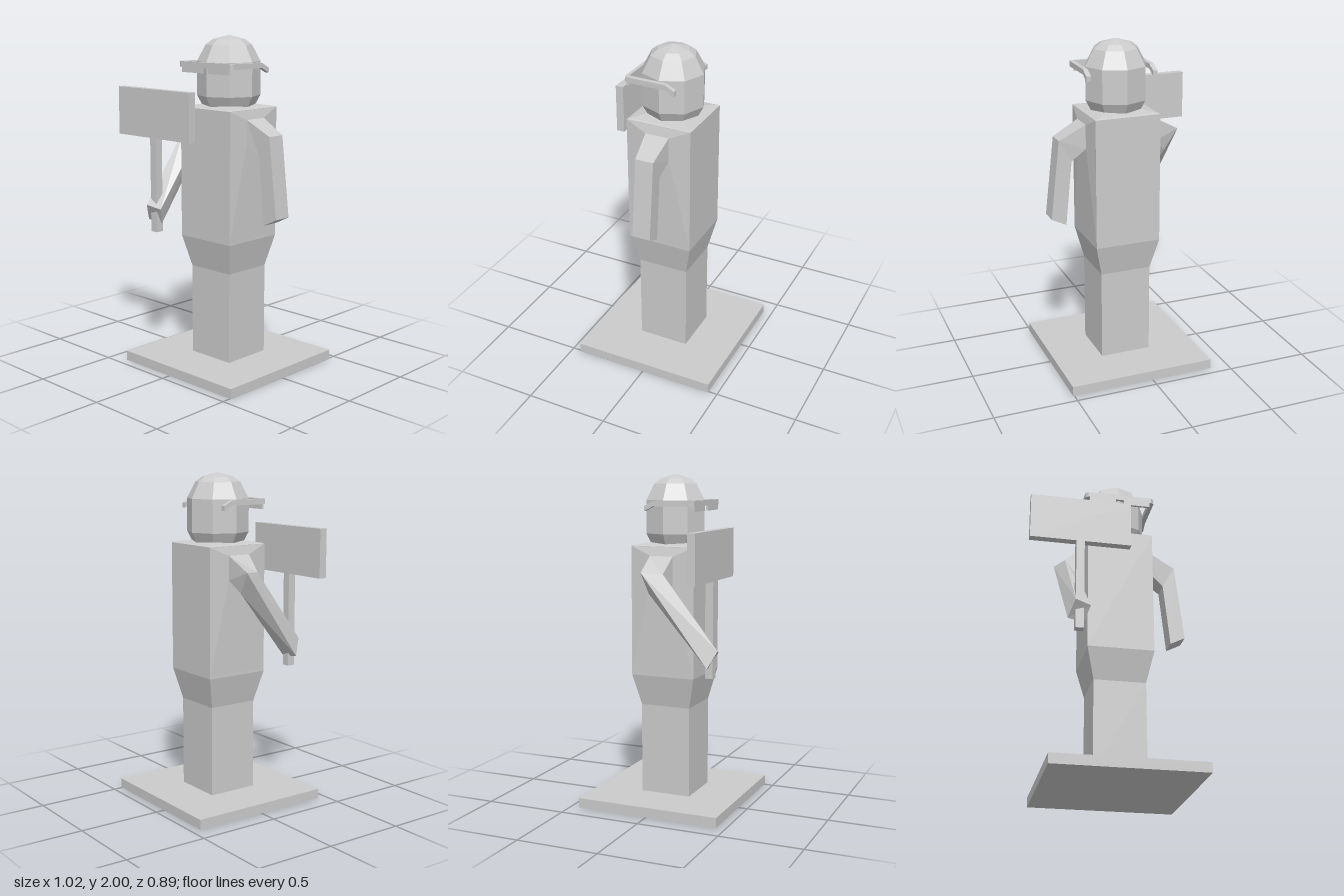
import * as THREE from 'three';

const CX = 0.0625; // centre line of the figure

const material = new THREE.MeshStandardMaterial({ color: 0xcccccc, flatShading: true });

function addMesh(parent, name, geometry) {
  const mesh = new THREE.Mesh(geometry, material);
  mesh.name = name;
  parent.add(mesh);
  return mesh;
}

// Box given by its minimum and maximum corners
function addBox(parent, name, min, max) {
  const size = max.map((v, i) => v - min[i]);
  const geometry = new THREE.BoxGeometry(...size);
  geometry.translate(...min.map((v, i) => v + size[i] / 2));
  return addMesh(parent, name, geometry);
}

// Closed, flat-shaded skin through rings of equal point count, wound outwards
function loft(rings) {
  const n = rings[0].length;
  const tris = [];
  for (let r = 0; r < rings.length - 1; r++) {
    for (let i = 0; i < n; i++) {
      const j = (i + 1) % n;
      const [a, b, c, d] = [rings[r][i], rings[r][j], rings[r + 1][j], rings[r + 1][i]];
      tris.push([a, b, c], [a, c, d]);
    }
  }
  const first = rings[0], last = rings[rings.length - 1];
  for (let i = 1; i < n - 1; i++) {
    tris.push([first[0], first[i + 1], first[i]], [last[0], last[i], last[i + 1]]);
  }
  let volume = 0;
  for (const t of tris) {
    const [a, b, c] = t.map((p) => new THREE.Vector3(...p));
    volume += a.dot(b.cross(c));
  }
  if (volume < 0) tris.forEach((t) => t.reverse());
  const geometry = new THREE.BufferGeometry();
  geometry.setAttribute('position', new THREE.Float32BufferAttribute(tris.flat(2), 3));
  geometry.computeVertexNormals();
  return geometry;
}

// Horizontal square ring around the centre line
const square = (y, h) => [[CX - h, y, -h], [CX - h, y, h], [CX + h, y, h], [CX + h, y, -h]];

// Upright ring: top back, top front, bottom front, bottom back
const armRing = (xTop, yTop, xBottom, yBottom, h) =>
  [[xTop, yTop, -h], [xTop, yTop, h], [xBottom, yBottom, h], [xBottom, yBottom, -h]];

const mirror = (ring) => ring.map(([x, y, z]) => [2 * CX - x, y, z]);

export function createModel() {
  const model = new THREE.Group();
  model.name = 'signHolderFigure';

  // Base plate
  addBox(model, 'base', [-0.385, 0, -0.445], [0.508, 0.06, 0.445]);

  // Legs, hips and torso in one skin
  addMesh(model, 'body', loft([
    square(0.06, 0.156), square(0.61, 0.156), square(0.8, 0.2),
    square(1.58, 0.2), square(1.585, 0.185), square(1.6, 0.1),
  ]));

  // Arms grow out of the torso sides through a shallow shoulder pyramid
  const side = armRing(0.262, 1.58, 0.262, 0.8, 0.2);
  const shoulder = armRing(0.277, 1.525, 0.277, 1.38, 0.073);
  addMesh(model, 'leftArm', loft([
    side, shoulder,
    armRing(0.435, 1.44, 0.36, 1.31, 0.056),
    armRing(0.49, 0.965, 0.4, 0.92, 0.056),
  ]));
  addMesh(model, 'rightArm', loft([
    mirror(side), mirror(shoulder),
    [[-0.31, 1.44, -0.06], [-0.257, 1.43, 0.057], [-0.178, 1.32, 0.07], [-0.23, 1.31, -0.045]],
    [[-0.278, 0.9, 0.34], [-0.24, 1.0, 0.39], [-0.147, 0.98, 0.363], [-0.182, 0.885, 0.322]],
  ]));

  // Eight-sided head with a domed top
  const profile = [[0, 1.585], [0.155, 1.59], [0.187, 1.65], [0.187, 1.848], [0.135, 1.945], [0.095, 1.975], [0, 2]]
    .map(([r, y]) => new THREE.Vector2(r, y));
  addMesh(model, 'head', new THREE.LatheGeometry(profile, 8)).position.x = CX;

  // Glasses: brow bar, two lenses and bent temples
  const glasses = new THREE.Group();
  glasses.name = 'glasses';
  glasses.position.x = CX;
  model.add(glasses);
  const brow = new THREE.Shape([
    [-0.2, 0.2], [0.2, 0.2], [0.217, 0.187], [0.217, 0.18], [-0.217, 0.18], [-0.217, 0.187],
  ].map(([x, z]) => new THREE.Vector2(x, -z)));
  const browGeometry = new THREE.ExtrudeGeometry(brow, { depth: 0.033, bevelEnabled: false });
  browGeometry.rotateX(-Math.PI / 2).translate(0, 1.815, 0);
  addMesh(glasses, 'browBar', browGeometry);
  for (const s of [-1, 1]) {
    const x0 = Math.min(s * 0.025, s * 0.19), x1 = Math.max(s * 0.025, s * 0.19);
    addBox(glasses, 'lens', [x0, 1.785, 0.185], [x1, 1.816, 0.2]);
    // Temple rings run from the brow to behind the ear
    const temple = [[0.187, 1.848, 1.815], [-0.05, 1.845, 1.815], [-0.108, 1.815, 1.785]]
      .map(([z, top, bottom]) => {
        const inner = s * 0.19, outer = s * 0.218;
        return [[inner, top, z], [outer, top, z], [outer, bottom, z], [inner, bottom, z]];
      });
    addMesh(glasses, 'temple', loft(temple));
  }

  // Sign on a stick, held in the right hand
  const sign = new THREE.Group();
  sign.name = 'sign';
  model.add(sign);
  addBox(sign, 'signBoard', [-0.512, 1.4, 0.312], [0.095, 1.688, 0.36]);
  addBox(sign, 'signStick', [-0.235, 0.835, 0.312], [-0.186, 1.4, 0.36]);

  return model;
}
